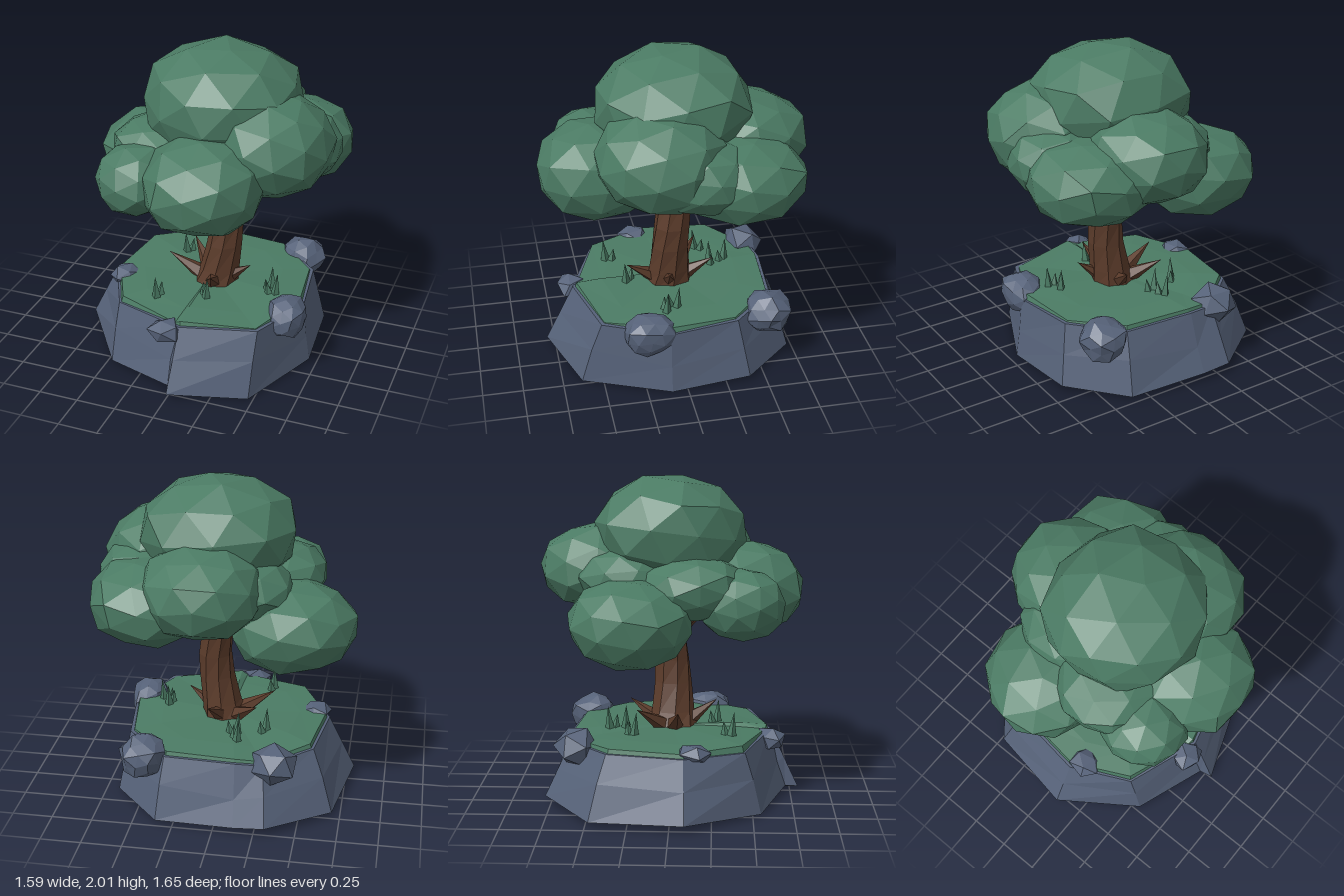
import * as THREE from 'three';

const flat = (color, name) => {
  const m = new THREE.MeshStandardMaterial({ color, flatShading: true });
  m.name = name;
  return m;
};

// Repeatable value in 0..1 for a point, so shared corners move together
const hash = (x, y, z, seed) => {
  const r = (v) => Math.round(v * 100);
  const s = Math.sin(r(x) * 12.9898 + r(y) * 78.233 + r(z) * 37.719 + seed * 4.137) * 43758.5453;
  return s - Math.floor(s);
};

// Uneven, slightly boxy faceted ball, used for leaf clumps and boulders
function lump(detail, [x, y, z], [rx, ry, rz], seed, rough) {
  const g = new THREE.IcosahedronGeometry(1, detail);
  g.rotateY(seed * 1.3).rotateX(seed * 0.7);
  const p = g.attributes.position, power = 2.15;
  for (let i = 0; i < p.count; i++) {
    const v = new THREE.Vector3().fromBufferAttribute(p, i);
    const jitter = 1 + rough * (2 * hash(v.x, v.y, v.z, seed) - 1);
    const sum = Math.abs(v.x) ** power + Math.abs(v.y) ** power + Math.abs(v.z) ** power;
    v.multiplyScalar(jitter / sum ** (1 / power));
    p.setXYZ(i, x + v.x * rx, y + v.y * ry, z + v.z * rz);
  }
  g.computeVertexNormals();
  return g;
}

// Closed solid through rings of [x, y, z], each counter-clockwise from above
function loft(rings) {
  const n = rings[0].length, pos = [];
  const tri = (a, b, c) => pos.push(...a, ...b, ...c);
  const mid = (r) => [0, 1, 2].map((k) => r.reduce((s, p) => s + p[k], 0) / n);
  const low = rings[0], high = rings[rings.length - 1];
  for (let i = 0; i < n; i++) {
    const j = (i + 1) % n;
    for (let k = 0; k + 1 < rings.length; k++) {
      const a = rings[k], b = rings[k + 1];
      tri(a[i], a[j], b[j]);
      tri(a[i], b[j], b[i]);
    }
    tri(mid(low), low[j], low[i]);
    tri(mid(high), high[i], high[j]);
  }
  const g = new THREE.BufferGeometry();
  g.setAttribute('position', new THREE.Float32BufferAttribute(pos, 3));
  g.computeVertexNormals();
  return g;
}

// Pointed cone from one point to another
function spike(from, to, r, sides, tip = 0) {
  const a = new THREE.Vector3(...from), d = new THREE.Vector3(...to).sub(a);
  const g = new THREE.CylinderGeometry(tip, r, d.length(), sides);
  g.translate(0, d.length() / 2, 0);
  g.applyQuaternion(new THREE.Quaternion().setFromUnitVectors(new THREE.Vector3(0, 1, 0), d.normalize()));
  return g.translate(a.x, a.y, a.z);
}

export function createModel() {
  const model = new THREE.Group();
  const stone = flat(0x566279, 'stone');
  const leaf = flat(0x4b7b64, 'leaf green');
  const bark = flat(0x5c3c2b, 'bark brown');
  const add = (name, geometry, material) => {
    const m = new THREE.Mesh(geometry, material);
    m.name = name;
    model.add(m);
  };

  // Stone plinth: foot and rim outlines
  const foot = [
    [-0.8, 0.05, 0.09], [-0.47, 0.01, 0.55], [-0.02, 0.04, 0.72], [0, 0.03, 0.8], [0.47, 0, 0.63],
    [0.7, 0.01, 0.1], [0.66, 0.03, -0.4], [0.36, 0.02, -0.72], [-0.13, 0.05, -0.78],
    [-0.32, 0.06, -0.78], [-0.7, 0.03, -0.48],
  ];
  const rim = [
    [-0.63, 0.4, 0.08], [-0.45, 0.39, 0.45], [-0.02, 0.41, 0.61], [0.02, 0.41, 0.62], [0.48, 0.41, 0.5],
    [0.65, 0.4, 0.1], [0.59, 0.41, -0.33], [0.32, 0.4, -0.6], [-0.12, 0.41, -0.64],
    [-0.29, 0.4, -0.62], [-0.57, 0.41, -0.38],
  ];
  const waist = foot.map((f, i) => f.map((v, k) => v * 0.5 + rim[i][k] * 0.5 + (k === 1 ? 0.03 * Math.sin(i * 2.1) : 0)));
  add('stonePlinth', loft([foot, waist, rim]), stone);

  // Grass cap
  const turf = (s, y) => rim.map(([x, , z], i) => [x * s, y + 0.012 * Math.sin(i * 2.7), z * s]);
  add('grassCap', loft([turf(0.98, 0.385), turf(0.96, 0.425), turf(0.7, 0.435)]), leaf);

  // Boulders around the rim: detail, centre, radii
  [
    [1, [0.58, 0.38, 0.22], [0.12, 0.13, 0.16]],
    [1, [0.46, 0.37, -0.55], [0.15, 0.13, 0.15]],
    [0, [-0.07, 0.37, 0.62], [0.11, 0.075, 0.09]],
    [0, [-0.54, 0.41, 0.14], [0.09, 0.06, 0.11]],
    [0, [-0.34, 0.39, -0.58], [0.15, 0.13, 0.14]],
  ].forEach(([detail, at, size], i) => add('boulder', lump(detail, at, size, i + 2, 0.12), stone));

  // Leaning trunk, flared at foot and crown
  const trunk = [
    [0.03, 0.4, 0, 0.15], [0.06, 0.52, 0, 0.125], [0.09, 0.7, 0, 0.11],
    [0.1, 0.85, -0.01, 0.105], [0.08, 1.05, -0.03, 0.1], [0.06, 1.18, -0.03, 0.12],
  ].map(([x, y, z, r], k) => Array.from({ length: 8 }, (_, i) => {
    const a = (i / 8) * Math.PI * 2 + k * 0.12;
    return [x + r * Math.sin(a), y, z + r * Math.cos(a) * 1.08];
  }));
  add('trunk', loft(trunk), bark);

  // Roots curling up out of the grass
  [0.35, 1.45, 2.75, 3.9, 4.85].forEach((a) => {
    const s = Math.sin(a), c = Math.cos(a);
    add('root', spike([0.02 + 0.07 * s, 0.44, 0.08 * c], [0.28 * s, 0.58, 0.3 * c], 0.06, 5), bark);
  });

  // Branches fanning into the leaves
  for (let i = 0; i < 10; i++) {
    const a = (i / 10) * Math.PI * 2, s = Math.sin(a), c = Math.cos(a);
    add('branch', spike([0.07 + 0.05 * s, 1.01, -0.03 + 0.05 * c], [0.06 + 0.24 * s, 1.22, -0.03 + 0.26 * c], 0.04, 5, 0.025), bark);
  }

  // Leaf clumps: centre and radii
  [
    ['crownLeaves', [0.07, 1.66, -0.02], [0.49, 0.35, 0.47]],
    ['frontLeaves', [0.12, 1.31, 0.44], [0.36, 0.29, 0.39]],
    ['frontRightLeaves', [-0.31, 1.27, 0.42], [0.26, 0.21, 0.27]],
    ['lowRightLeaves', [-0.41, 1.17, -0.24], [0.39, 0.27, 0.37]],
    ['leftLeaves', [0.44, 1.48, 0.12], [0.35, 0.3, 0.39]],
    ['backLeaves', [0.1, 1.44, -0.46], [0.37, 0.27, 0.37]],
    ['backLeftLeaves', [0.43, 1.33, -0.36], [0.37, 0.25, 0.4]],
    ['sideLeaves', [0.52, 1.4, -0.11], [0.27, 0.21, 0.3]],
    ['rightLeaves', [-0.26, 1.36, 0.13], [0.32, 0.2, 0.33]],
    ['innerLeaves', [0.13, 1.36, -0.05], [0.45, 0.23, 0.45]],
    ['backRightLeaves', [-0.1, 1.4, -0.27], [0.32, 0.2, 0.32]],
  ].forEach(([name, at, size], i) => add(name, lump(1, at, size, i + 1, 0.04), leaf));

  // Grass blades in pairs
  [
    [-0.23, 0.35], [0.05, 0.27], [0.44, 0.1], [0.41, 0.04], [-0.08, -0.38], [-0.06, -0.3], [-0.25, -0.25],
  ].forEach(([x, z], t) => {
    for (let k = 0; k < 2; k++) {
      const a = t + k * 2.6, s = Math.sin(a), c = Math.cos(a), h = 0.15 - 0.06 * k;
      add('grassBlade', spike([x + 0.02 * s, 0.42, z + 0.02 * c], [x + 0.035 * s, 0.43 + h, z + 0.035 * c], 0.032, 4), leaf);
    }
  });

  return model;
}
